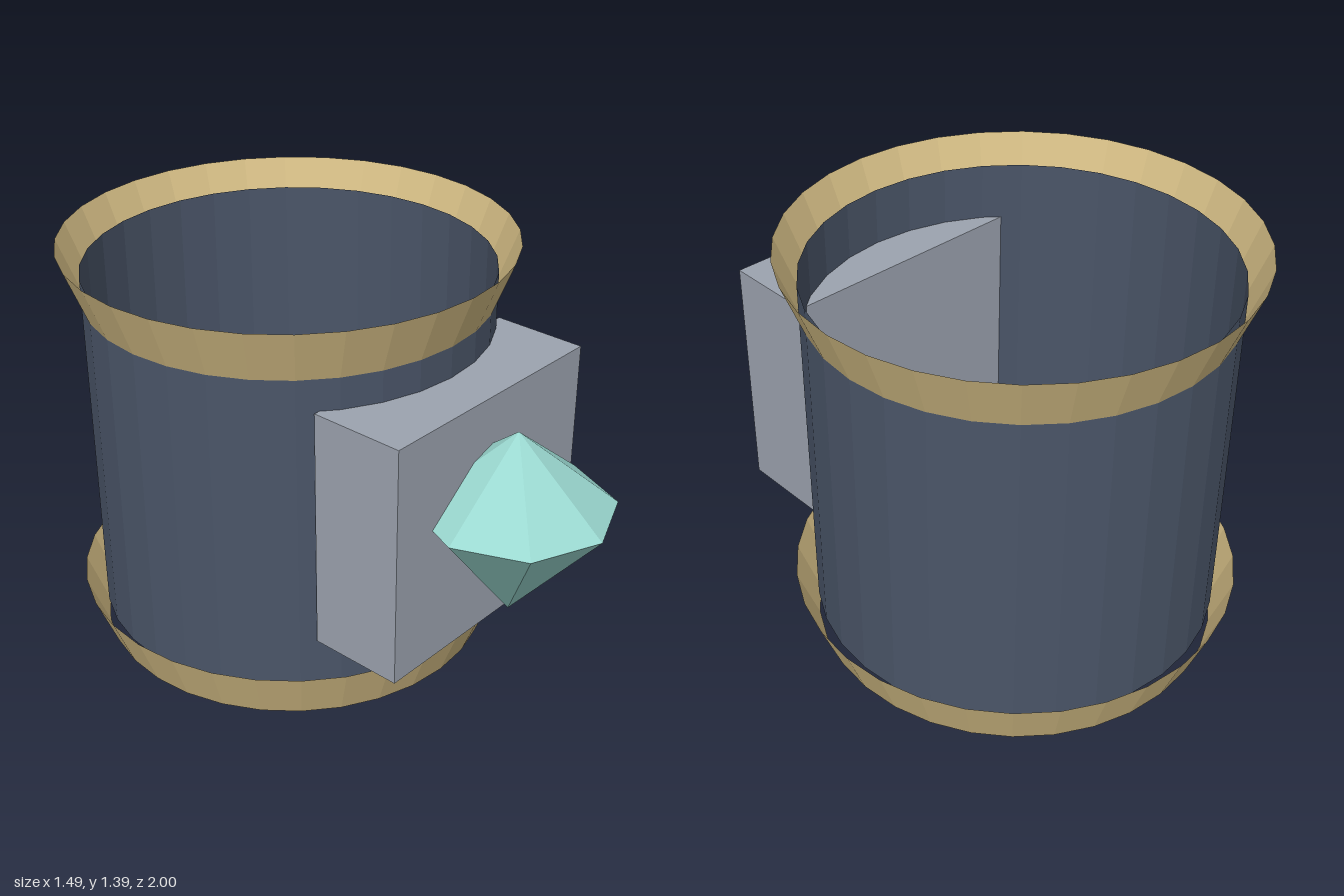
import * as THREE from 'three';

const SIDES = 32;
const CENTER_Z = -0.255;

function material(name, color, options = {}) {
  const m = new THREE.MeshStandardMaterial({ color, flatShading: true, ...options });
  m.name = name;
  return m;
}

export function createModel() {
  const group = new THREE.Group();
  group.name = 'gemCuff';

  const slate = material('slate', 0x4a5568, { side: THREE.DoubleSide });
  const gold = material('gold', 0xd4bd85, { side: THREE.DoubleSide });
  const grey = material('grey', 0x9ca3af);
  const teal = material('teal', 0x9ad8d0);

  const add = (name, geometry, mat, y, z) => {
    const mesh = new THREE.Mesh(geometry, mat);
    mesh.name = name;
    mesh.position.set(0, y, z);
    group.add(mesh);
  };

  // Open tube; its ends stop halfway up each flared rim
  add('cuffTube', new THREE.CylinderGeometry(0.675, 0.675, 1.215, SIDES, 1, true), slate, 0.6975, CENTER_Z);

  // Thin flared rims, both widening upward
  for (const [name, y] of [['lowerRim', 0.09], ['upperRim', 1.305]]) {
    add(name, new THREE.CylinderGeometry(0.745, 0.675, 0.18, SIDES, 1, true), gold, y, CENTER_Z);
  }

  // Block that holds the gem
  add('gemMount', new THREE.BoxGeometry(0.89, 0.82, 0.322), grey, 0.7, 0.427);

  // Eight-sided gem: short crown over a longer point
  add('gemCrown', new THREE.CylinderGeometry(0, 0.32, 0.255, 8, 1, true), teal, 0.8925, 0.68);
  add('gemPoint', new THREE.CylinderGeometry(0.32, 0, 0.385, 8, 1, true), teal, 0.5725, 0.68);

  return group;
}
